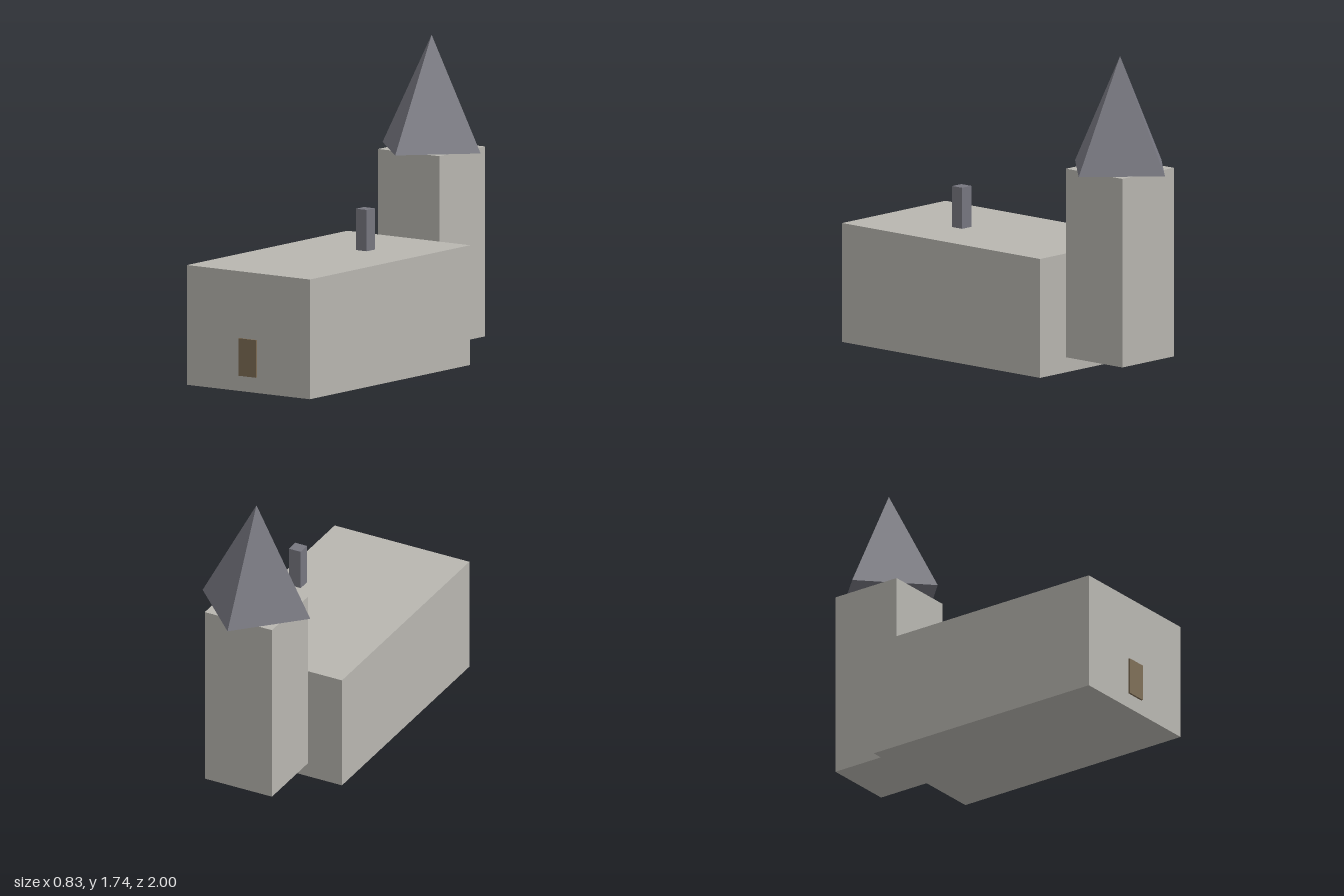
import * as THREE from 'three';

const paint = (name, color) => {
  const m = new THREE.MeshStandardMaterial({ color });
  m.name = name;
  return m;
};

export function createModel() {
  const group = new THREE.Group();
  group.name = 'church';
  const stone = paint('stone', 0xb8b6b0);
  const slate = paint('slate', 0x777780);
  const wood = paint('wood', 0x7d6c54);

  // Box given by its lower and upper corners
  const box = (name, material, [x0, y0, z0], [x1, y1, z1]) => {
    const mesh = new THREE.Mesh(new THREE.BoxGeometry(x1 - x0, y1 - y0, z1 - z0), material);
    mesh.position.set((x0 + x1) / 2, (y0 + y1) / 2, (z0 + z1) / 2);
    mesh.name = name;
    group.add(mesh);
  };

  box('hall', stone, [-0.413, 0, -0.463], [0.413, 0.655, 0.989]);
  box('tower', stone, [-0.206, 0.083, -0.876], [0.206, 1.122, -0.463]);
  box('chimney', slate, [0.211, 0.708, 0.227], [0.284, 0.934, 0.3]);
  box('door', wood, [-0.058, 0.085, 0.985], [0.058, 0.29, 1]);

  // Four-sided spire, set cornerwise on the tower
  const roof = new THREE.ConeGeometry(0.33, 0.618, 4).toNonIndexed();
  roof.computeVertexNormals();
  const spire = new THREE.Mesh(roof, slate);
  spire.position.set(0, 1.122 + 0.309, -0.67);
  spire.name = 'spire';
  group.add(spire);

  return group;
}
